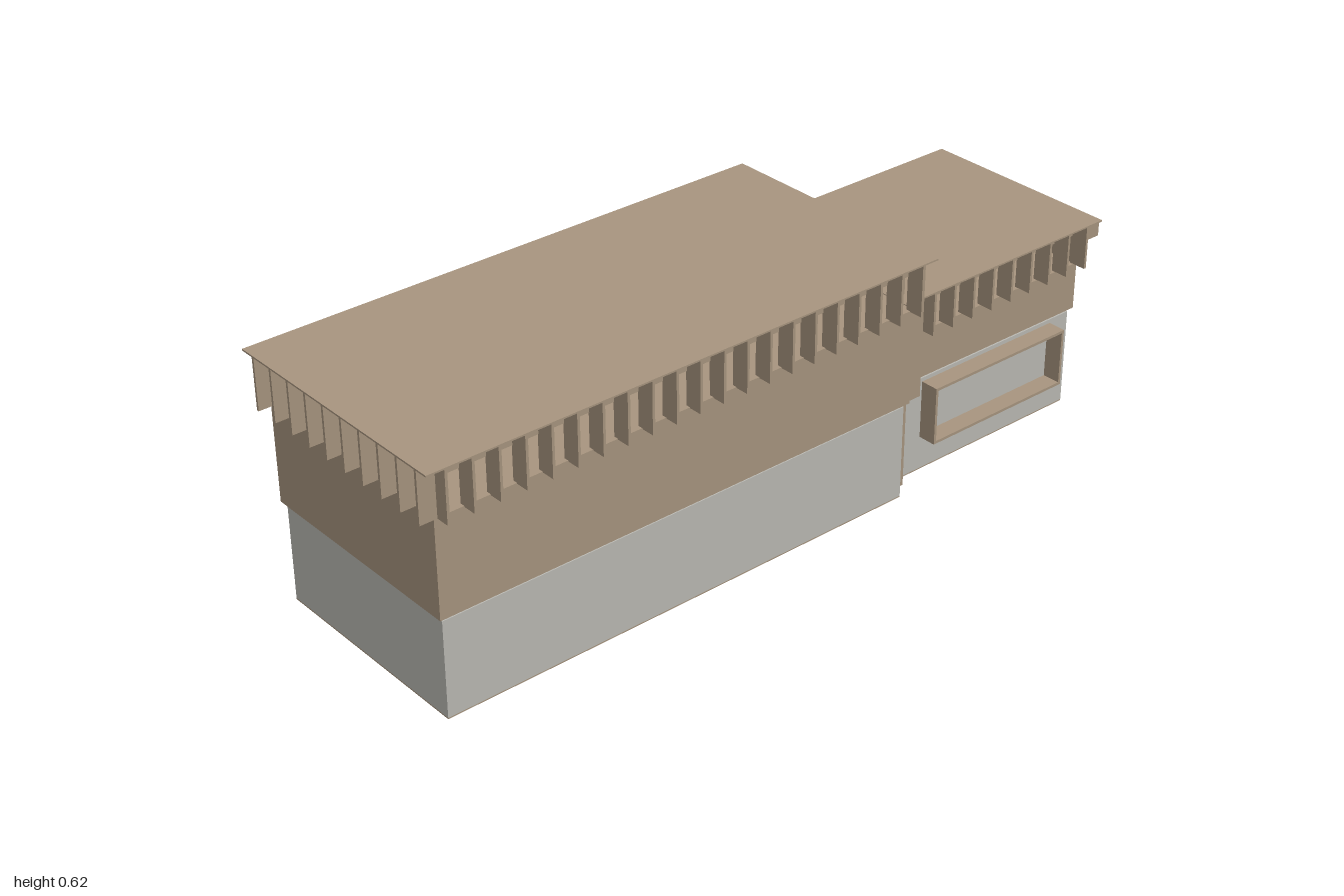
import * as THREE from 'three';

export function createModel() {
  const root = new THREE.Group();
  root.name = 'building';
  const mat = (name, color) => {
    const m = new THREE.MeshStandardMaterial({ color });
    m.name = name;
    return m;
  };
  const brown = mat('brown cladding', 0xa8957f);
  const grey = mat('grey wall', 0xbbbab4);
  const dark = mat('dark door', 0x4c4b50);

  // Box given by its limits on each axis
  function box(name, m, x0, x1, y0, y1, z0, z1, parent = root) {
    const mesh = new THREE.Mesh(new THREE.BoxGeometry(x1 - x0, y1 - y0, z1 - z0), m);
    mesh.position.set((x0 + x1) / 2, (y0 + y1) / 2, (z0 + z1) / 2);
    mesh.name = name;
    parent.add(mesh);
  }
  function group(name) {
    const g = new THREE.Group();
    g.name = name;
    root.add(g);
    return g;
  }

  // Main hall: grey base, shadow gap, brown upper storey
  const hall = group('mainHall');
  box('hallFloor', brown, -0.283, 0.283, 0, 0.003, -0.335, 0.955, hall);
  box('hallBase', grey, -0.283, 0.283, 0.003, 0.243, -0.335, 0.955, hall);
  box('hallShadowGap', grey, -0.278, 0.278, 0.243, 0.253, -0.33, 0.95, hall);
  box('hallUpperStorey', brown, -0.292, 0.292, 0.253, 0.495, -0.345, 0.965, hall);
  box('hallRoofCore', brown, -0.282, 0.282, 0.578, 0.621, -0.335, 0.955, hall);
  box('hallRoof', brown, -0.327, 0.327, 0.621, 0.625, -0.38, 1, hall);

  // Rear wing
  const wing = group('rearWing');
  box('wingFloor', brown, -0.225, 0.225, 0, 0.003, -0.95, -0.335, wing);
  box('wingBase', grey, -0.225, 0.225, 0.003, 0.25, -0.95, -0.335, wing);
  box('wingShadowGap', grey, -0.22, 0.22, 0.25, 0.26, -0.945, -0.335, wing);
  box('wingUpperStorey', brown, -0.233, 0.233, 0.26, 0.383, -0.96, -0.345, wing);
  box('wingBackWall', brown, -0.233, 0.233, 0.383, 0.456, -0.96, -0.953, wing);
  box('wingRoofCore', brown, -0.224, 0.224, 0.455, 0.493, -0.953, -0.345, wing);
  box('wingRearFascia', brown, -0.262, 0.262, 0.455, 0.493, -0.997, -0.953, wing);
  box('wingRoof', brown, -0.268, 0.268, 0.493, 0.497, -1, -0.345, wing);

  // Vertical fins under the eaves
  const T = 0.0033, PITCH = 0.0645;
  const fins = group('eaveFins');
  for (const s of [-1, 1]) {
    const side = (a, b, y0, y1, z) =>
      box('sideFin', brown, Math.min(s * a, s * b), Math.max(s * a, s * b), y0, y1, z - T, z + T, fins);
    for (let k = 0; k <= 20; k++) side(0.28, 0.326, 0.493, 0.621, 0.953 - k * PITCH);
    for (let k = 0; k <= 8; k++) side(0.222, 0.267, 0.383, 0.493, -0.441 - k * 0.0639);
    // Tall fin closing the rear corner of the hall
    const x = s * 0.287;
    box('tallCornerFin', brown, x - T, x + T, 0.258, 0.621, -0.379, -0.335, fins);
  }
  for (let k = 0; k < 10; k++) {
    const x = (k - 4.5) * 0.0642;
    box('frontFin', brown, x - T, x + T, 0.493, 0.621, 0.953, 0.999, fins);
    if (k > 0 && k < 9) box('rearFin', brown, x - T, x + T, 0.497, 0.621, -0.379, -0.335, fins);
  }

  // Projecting window frames and junction pillars on both sides of the wing
  for (const s of [-1, 1]) {
    const g = group(s > 0 ? 'leftWindow' : 'rightWindow');
    const lo = s > 0 ? 0.222 : -0.272, hi = s > 0 ? 0.272 : -0.222;
    const F = 0.007;
    box('frameSill', brown, lo, hi, 0.09, 0.09 + F, -0.888, -0.453, g);
    box('frameHead', brown, lo, hi, 0.24 - F, 0.24, -0.888, -0.453, g);
    for (const z of [-0.888, -0.453 - F])
      box('frameJamb', brown, lo, hi, 0.09 + F, 0.24 - F, z, z + F, g);
    const p0 = s > 0 ? 0.222 : -0.25, p1 = s > 0 ? 0.25 : -0.222;
    box('junctionPillar', brown, p0, p1, 0, 0.237, -0.377, -0.334);
  }

  // Rear entrance: frame with recessed double doors
  const entry = group('rearEntrance');
  for (const s of [-1, 1]) {
    box('doorJamb', brown, s * 0.074 - 0.006, s * 0.074 + 0.006, 0, 0.228, -1, -0.945, entry);
    box('doorLeaf', dark, s * 0.035 - 0.033, s * 0.035 + 0.033, 0.002, 0.228, -0.982, -0.974, entry);
  }
  box('doorHead', brown, -0.08, 0.08, 0.228, 0.24, -1, -0.945, entry);
  box('doorBacking', dark, -0.068, 0.068, 0, 0.228, -0.974, -0.945, entry);
  return root;
}
